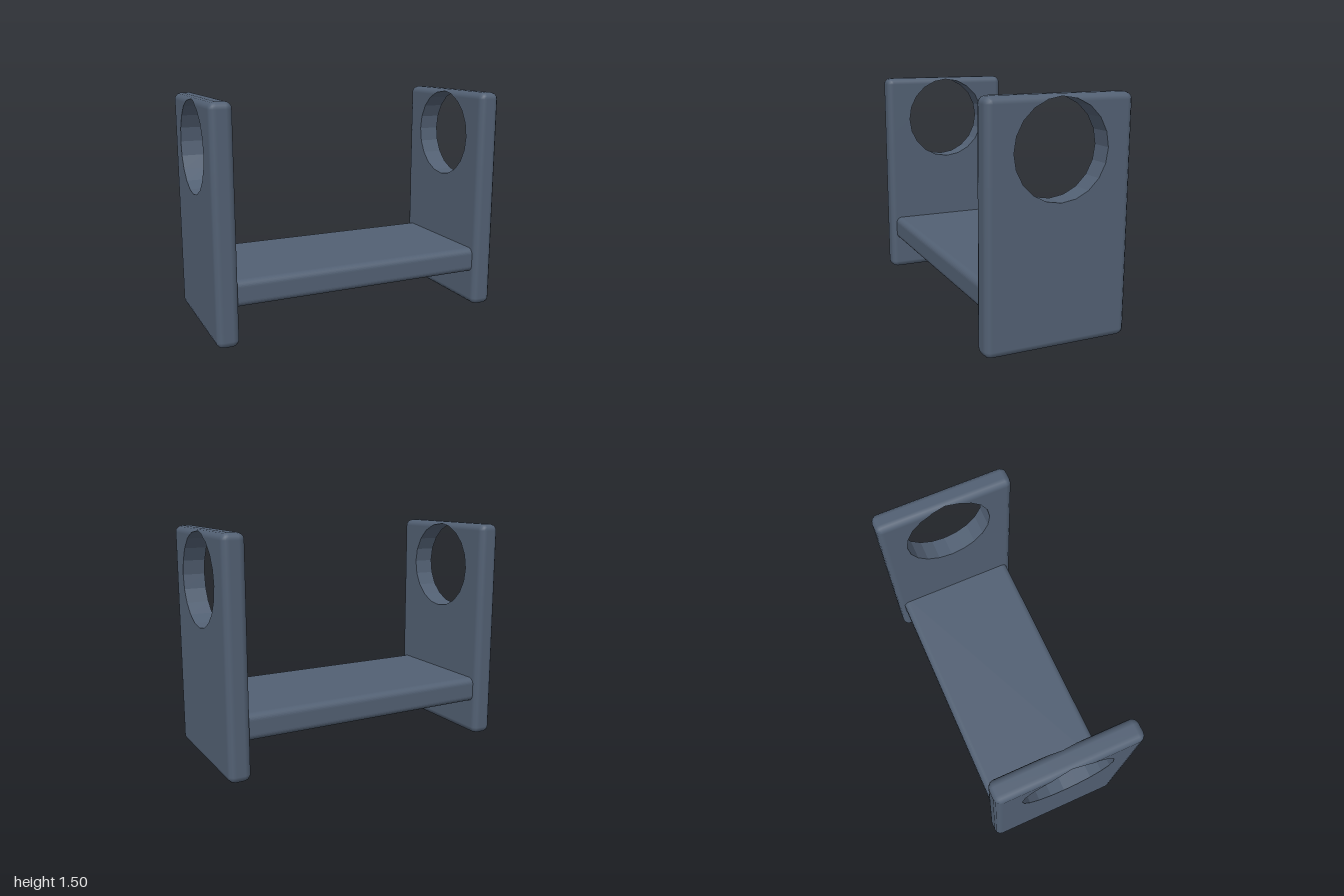
import * as THREE from 'three';

const HEIGHT = 1.5, HALF_DEPTH = 0.47, HALF_THICK = 0.0725, R = 0.045; // side panel
const HOLE_Y = 1.185, HOLE_R = 0.302, SIDES = 20, STEPS = 3;

const material = new THREE.MeshStandardMaterial({ color: 0x526073 });
const flatMaterial = new THREE.MeshStandardMaterial({ color: 0x526073, flatShading: true });

// Point [y, z] on the hole polygon; k may be fractional (between two corners)
function holePoint(k) {
  const corner = (i) => {
    const a = (i / SIDES) * Math.PI * 2;
    return [HOLE_Y + HOLE_R * Math.sin(a), HOLE_R * Math.cos(a)];
  };
  const i = Math.floor(k), f = k - i, p = corner(i), q = corner(i + 1);
  return [p[0] + (q[0] - p[0]) * f, p[1] + (q[1] - p[1]) * f];
}

// Walk round the panel, pairing hole points h with outline anchors c and edge normals n
function panelLoop() {
  const top = HEIGHT - R, side = HALF_DEPTH - R, loop = [];
  const edge = (ks, n) => ks.forEach((k) => {
    const h = holePoint(k);
    const c = n[0] ? [n[0] > 0 ? top : R, h[1]] : [h[0], n[1] * side];
    loop.push({ h, c, n, top: n[0] > 0 });
  });
  const corner = (k, c, start) => {
    for (let i = 0; i <= STEPS; i++) {
      const a = start + (i / STEPS) * Math.PI / 2;
      loop.push({ h: holePoint(k), c, n: [Math.sin(a), Math.cos(a)], top: false });
    }
  };
  // where the hole runs into the rounded top edge
  const y3 = holePoint(3)[0], y4 = holePoint(4)[0], kTop = 3 + (top - y3) / (y4 - y3);
  edge([-2, -1, 0, 1, 2], [0, 1]);
  corner(3, [top, side], 0);
  edge([kTop, 4, 5, 6, 10 - kTop], [1, 0]);
  corner(7, [top, -side], Math.PI / 2);
  edge([8, 9, 10, 11, 12], [0, -1]);
  corner(13, [R, -side], Math.PI);
  edge([14, 15, 16], [-1, 0]);
  corner(17, [R, side], Math.PI * 1.5);
  return loop;
}

// Join rows of points into a geometry
function skin(rows, normals) {
  const n = rows[0].length, index = [];
  for (let j = 0; j < rows.length - 1; j++) {
    for (let i = 0; i < n; i++) {
      const a = j * n + i, b = j * n + (i + 1) % n;
      index.push(a, b, a + n, b, b + n, a + n);
    }
  }
  const g = new THREE.BufferGeometry();
  g.setAttribute('position', new THREE.Float32BufferAttribute(rows.flat(2), 3));
  if (normals) g.setAttribute('normal', new THREE.Float32BufferAttribute(normals.flat(2), 3));
  else g.computeVertexNormals();
  g.setIndex(index);
  return g;
}

function createPanel() {
  const loop = panelLoop(), rows = [], normals = [];
  // rim of the hole, lowered where it cuts the rounded top edge
  const rim = (p, s) => {
    const u = p.top ? Math.max(0, p.h[0] - (HEIGHT - R)) : 0;
    const w = Math.sqrt(R * R - u * u);
    return { pos: [s * (HALF_THICK - R + w), ...p.h], nor: [s * w / R, u / R, 0] };
  };
  const addRow = (pts) => {
    rows.push(pts.map((p) => p.pos));
    normals.push(pts.map((p) => p.nor));
  };
  const outline = (s, t) => addRow(loop.map((p) => {
    const a = (t / STEPS) * Math.PI / 2, sin = Math.sin(a), cos = Math.cos(a);
    const y = p.c[0] + p.n[0] * R * sin, z = p.c[1] + p.n[1] * R * sin;
    if (p.top && y < p.h[0]) return rim(p, s);
    return { pos: [s * (HALF_THICK - R + R * cos), y, z], nor: [s * cos, p.n[0] * sin, p.n[1] * sin] };
  }));

  addRow(loop.map((p) => rim(p, 1)));
  for (let t = 0; t <= STEPS; t++) outline(1, t);
  for (let t = STEPS; t >= 0; t--) outline(-1, t);
  addRow(loop.map((p) => rim(p, -1)));

  const body = new THREE.Mesh(skin(rows, normals), material);
  body.name = 'panelBody';
  const wall = new THREE.Mesh(skin([rows[rows.length - 1], rows[0]]), flatMaterial);
  wall.name = 'holeWall';
  const panel = new THREE.Group();
  panel.add(body, wall);
  return panel;
}

// Board with rounded long edges, its ends let into the panels
function createShelf() {
  const d = 0.43, y0 = 0.24, y1 = 0.41, r = 0.042, length = 1.76;
  const s = new THREE.Shape();
  s.absarc(d - r, y1 - r, r, 0, Math.PI / 2);
  s.absarc(-d + r, y1 - r, r, Math.PI / 2, Math.PI);
  s.absarc(-d + r, y0 + r, r, Math.PI, Math.PI * 1.5);
  s.absarc(d - r, y0 + r, r, Math.PI * 1.5, Math.PI * 2);
  const g = new THREE.ExtrudeGeometry(s, { depth: length, bevelEnabled: false, curveSegments: 4 });
  g.translate(0, 0, -length / 2).rotateY(Math.PI / 2);
  const shelf = new THREE.Mesh(g, flatMaterial);
  shelf.name = 'shelf';
  return shelf;
}

export function createModel() {
  const model = new THREE.Group();
  model.name = 'rack';
  for (const s of [1, -1]) {
    const panel = createPanel();
    panel.name = s > 0 ? 'leftPanel' : 'rightPanel';
    panel.position.x = s * (1 - HALF_THICK);
    model.add(panel);
  }
  model.add(createShelf());
  return model;
}
